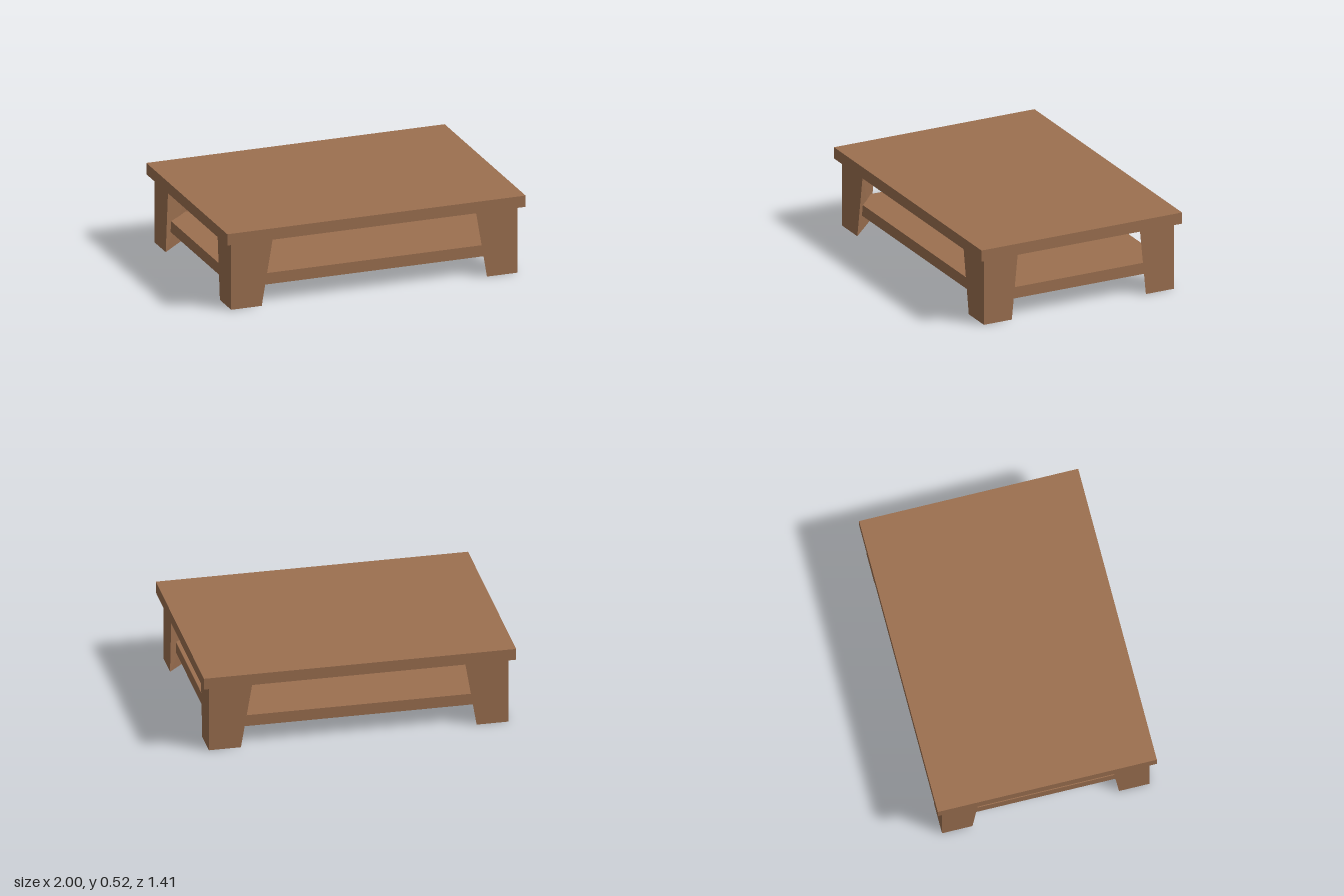
import * as THREE from 'three';
import { ConvexGeometry } from 'three/addons/geometries/ConvexGeometry.js';

const wood = new THREE.MeshStandardMaterial({ color: 0x9c7050 });
wood.name = 'wood';

// Flat board between two heights
function board(name, width, depth, bottom, top) {
  const mesh = new THREE.Mesh(new THREE.BoxGeometry(width, top - bottom, depth), wood);
  mesh.name = name;
  mesh.position.y = (bottom + top) / 2;
  return mesh;
}

// Triangular corner leg: upright outer faces, slanted diagonal inner face
function leg(name, sx, sz) {
  const outerX = 0.96, outerZ = 0.67;
  const points = [];
  for (const [y, innerX, innerZ] of [[0, 0.755, 0.473], [0.445, 0.68, 0.43]]) {
    points.push(
      new THREE.Vector3(sx * outerX, y, sz * outerZ),
      new THREE.Vector3(sx * innerX, y, sz * outerZ),
      new THREE.Vector3(sx * outerX, y, sz * innerZ)
    );
  }
  const mesh = new THREE.Mesh(new ConvexGeometry(points), wood);
  mesh.name = name;
  return mesh;
}

export function createModel() {
  const table = new THREE.Group();
  table.name = 'coffeeTable';

  table.add(board('tableTop', 2, 1.415, 0.445, 0.52));
  table.add(board('lowerShelf', 1.835, 1.245, 0.12, 0.195));

  for (const sx of [1, -1]) {
    for (const sz of [1, -1]) {
      table.add(leg((sz > 0 ? 'front' : 'back') + (sx > 0 ? 'Left' : 'Right') + 'Leg', sx, sz));
    }
  }
  return table;
}
